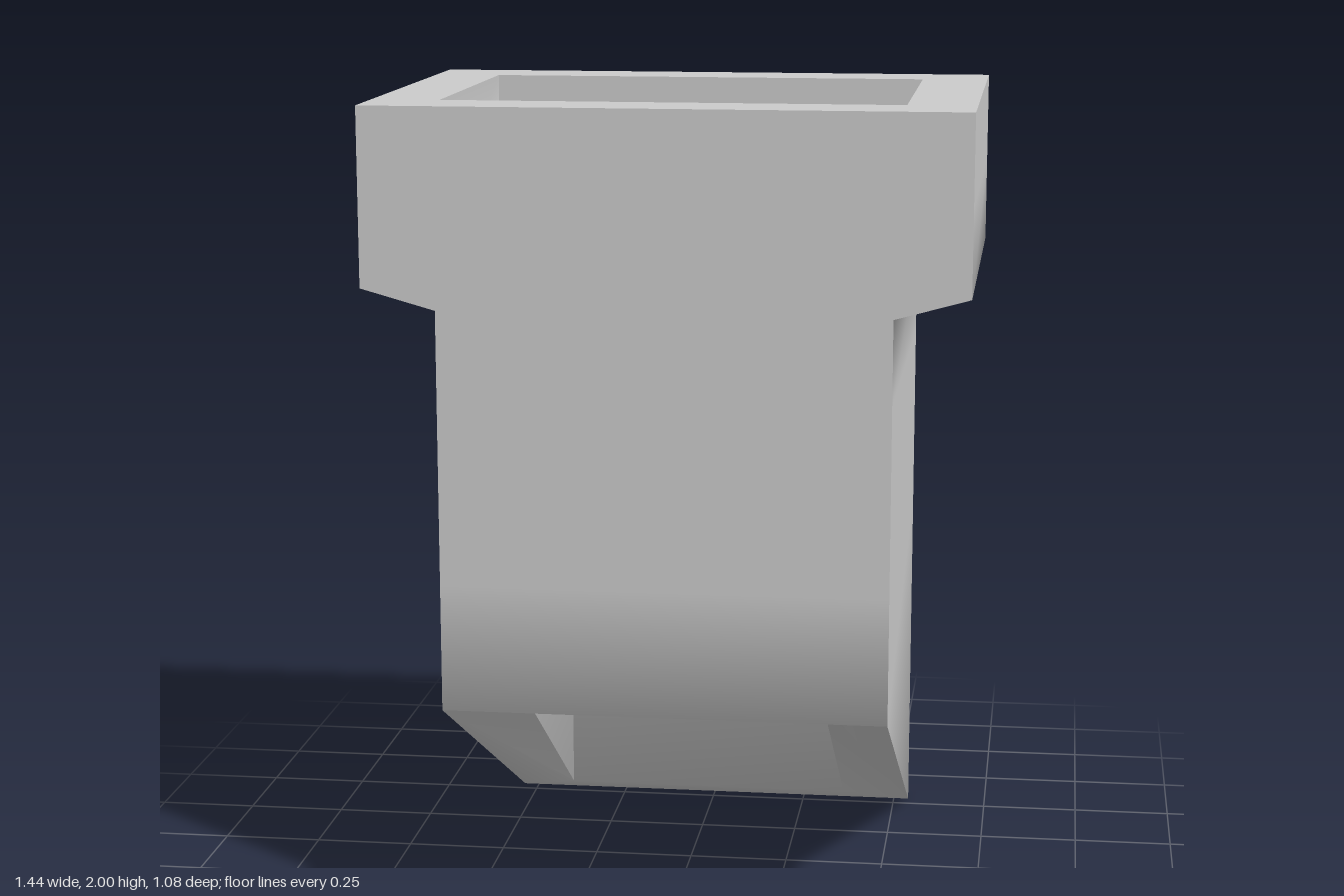
import * as THREE from 'three';
import { toCreasedNormals } from 'three/addons/utils/BufferGeometryUtils.js';

// Four-cornered section: half width, half depth, height at front and at back
const ring = (w, d, yFront, yBack = yFront) => [
  [-w, yFront, d], [w, yFront, d], [w, yBack, -d], [-w, yBack, -d],
];

// Joins each section to the next, and the last one back to the first
function loftClosed(rings) {
  const positions = [];
  rings.forEach((a, i) => {
    const b = rings[(i + 1) % rings.length];
    for (let k = 0; k < 4; k++) {
      const n = (k + 1) % 4;
      positions.push(...a[k], ...a[n], ...b[n], ...a[k], ...b[n], ...b[k]);
    }
  });
  const geometry = new THREE.BufferGeometry();
  geometry.setAttribute('position', new THREE.Float32BufferAttribute(positions, 3));
  return toCreasedNormals(geometry, THREE.MathUtils.degToRad(80));
}

export function createModel() {
  const group = new THREE.Group();
  group.name = 'chute';

  const sections = [
    // outer shell, from the slanted foot up to the wide head
    ring(0.54, 0.54, 0.54, 0),
    ring(0.54, 0.54, 0.85),
    ring(0.54, 0.54, 1.32),
    ring(0.54, 0.54, 1.52),
    ring(0.72, 0.54, 1.57),
    ring(0.72, 0.54, 1.78),
    ring(0.72, 0.54, 2),
    // inner channel, from the mouth down to the slanted outlet
    ring(0.555, 0.372, 2),
    ring(0.555, 0.372, 1.69),
    ring(0.372, 0.372, 1.64),
    ring(0.372, 0.372, 1.4),
    ring(0.372, 0.372, 0.54, 0.07),
  ];

  const body = new THREE.Mesh(
    loftClosed(sections),
    new THREE.MeshStandardMaterial({ color: 0xcccccc }),
  );
  body.name = 'hollowBody';
  group.add(body);
  return group;
}
